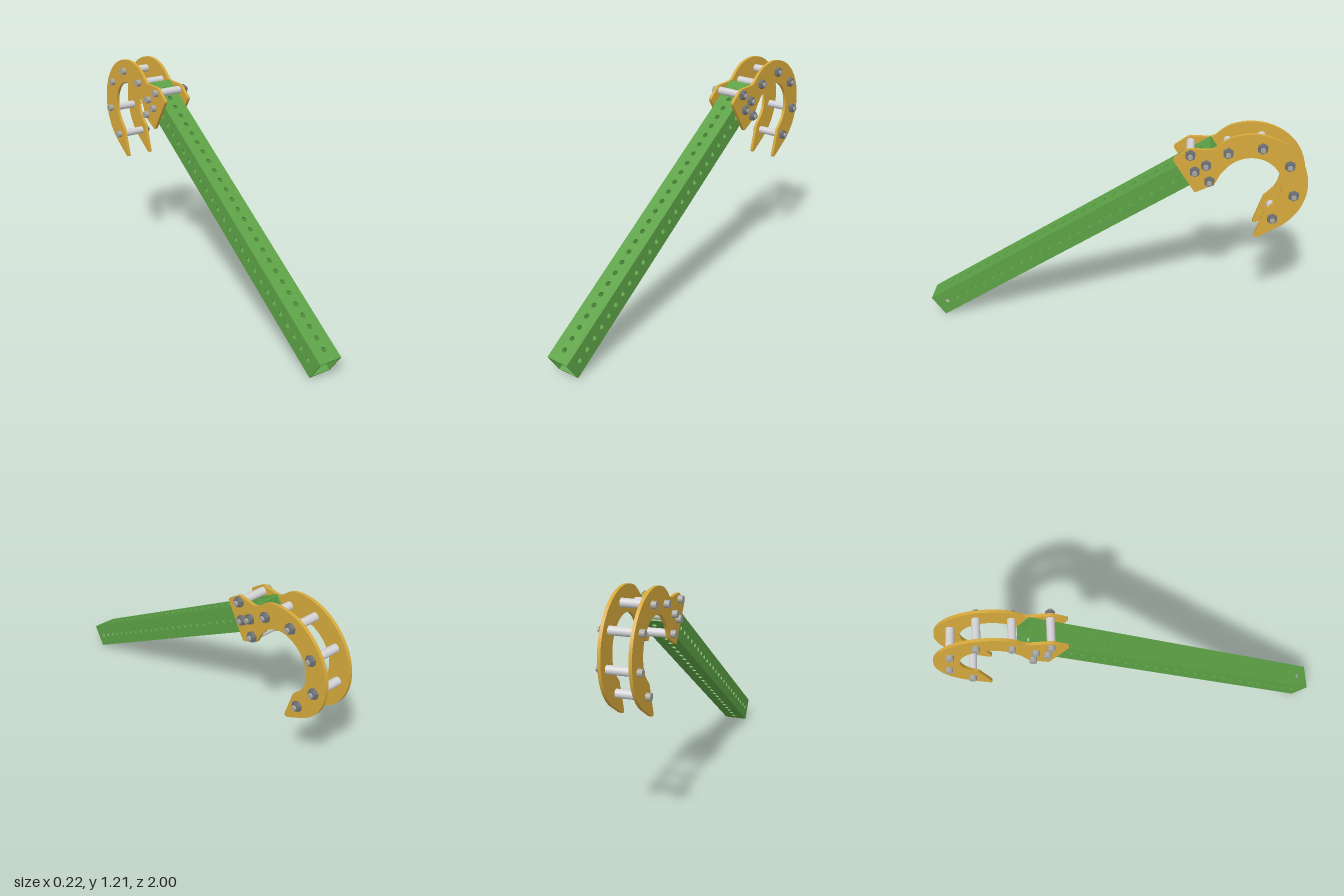
import * as THREE from 'three';
import { toCreasedNormals } from 'three/addons/utils/BufferGeometryUtils.js';

const mat = (name, color) => {
  const m = new THREE.MeshStandardMaterial({ color });
  m.name = name;
  return m;
};
const rad = THREE.MathUtils.degToRad;

export function createModel() {
  const green = mat('green paint', 0x5ca145);
  const gold = mat('gold plate', 0xd6a93c);
  const steel = mat('bolt steel', 0xa8a6a0);
  const darkSteel = mat('nut steel', 0x6f7276);
  const pale = mat('spacer aluminium', 0xd2d2d4);

  const model = new THREE.Group();
  model.name = 'hookArm';
  // Side-profile frame: local x runs to the back, local z is the model's x
  const frame = new THREE.Group();
  frame.name = 'profileFrame';
  frame.rotation.y = Math.PI / 2;
  model.add(frame);

  const add = (parent, name, geometry, material) => {
    const mesh = new THREE.Mesh(geometry, material);
    mesh.name = name;
    parent.add(mesh);
    return mesh;
  };

  // Square tube: four perforated walls, open at both ends
  const W = 0.128, T = 0.008, PITCH = 0.065, L = PITCH * 28, MID = -0.0055;
  const tube = new THREE.Group();
  tube.name = 'tube';
  tube.position.set(-0.964, 0.053, MID);
  tube.rotation.z = rad(34.1);
  frame.add(tube);
  for (let k = 0; k < 4; k++) {
    const h = k % 2 ? W / 2 - T : W / 2;
    const wall = new THREE.Shape([
      new THREE.Vector2(0, -h), new THREE.Vector2(L, -h),
      new THREE.Vector2(L, h), new THREE.Vector2(0, h),
    ]);
    for (let i = 1; i < 28; i++) {
      wall.holes.push(new THREE.Path().absarc(i * PITCH, 0, 0.0138, 0, Math.PI * 2, true));
    }
    const g = new THREE.ExtrudeGeometry(wall, { depth: T, bevelEnabled: false, curveSegments: 16 });
    g.translate(0, 0, W / 2 - T);
    g.rotateX(k * Math.PI / 2);
    add(tube, 'tubeWall', toCreasedNormals(g, 0.6), green);
  }

  // Hook side plates
  const cu = 0.716, cy = 0.928, R = 0.284, r = 0.157;
  const hook = new THREE.Shape();
  hook.moveTo(0.328, 1.05);
  hook.quadraticCurveTo(0.322, 1.06, 0.332, 1.068);
  hook.lineTo(0.39, 1.113);
  hook.quadraticCurveTo(0.4, 1.12, 0.412, 1.12);
  hook.lineTo(0.495, 1.12);
  hook.quadraticCurveTo(0.525, 1.12, 0.545, 1.143);
  hook.quadraticCurveTo(0.568, 1.168, 0.605, 1.189);
  hook.absarc(cu, cy, R, rad(113), rad(-55), true);
  hook.lineTo(0.782, 0.632);
  hook.quadraticCurveTo(0.75, 0.615, 0.76, 0.65);
  hook.lineTo(0.799, 0.785);
  hook.quadraticCurveTo(0.803, 0.797, 0.815, 0.805);
  hook.absarc(cu, cy, r, rad(-34), rad(148), false);
  hook.quadraticCurveTo(0.565, 0.995, 0.555, 0.97);
  hook.lineTo(0.54, 0.935);
  hook.quadraticCurveTo(0.536, 0.925, 0.524, 0.92);
  hook.lineTo(0.45, 0.881);
  hook.quadraticCurveTo(0.44, 0.876, 0.434, 0.886);
  hook.closePath();
  const PT = 0.016;
  const plateGeo = toCreasedNormals(
    new THREE.ExtrudeGeometry(hook, { depth: PT, bevelEnabled: false, curveSegments: 40 }), 0.5);
  add(frame, 'leftHookPlate', plateGeo, gold).position.z = MID + W / 2;
  add(frame, 'rightHookPlate', plateGeo, gold).position.z = MID - W / 2 - PT;

  // Bolts, nuts and spacers, each lying across the model
  const rod = (name, radius, z0, z1, sides, material, parent) => {
    const g = new THREE.CylinderGeometry(radius, radius, z1 - z0, sides);
    g.rotateX(Math.PI / 2);
    g.translate(0, 0, (z0 + z1) / 2);
    if (sides === 6) return add(parent, name, toCreasedNormals(g, 0.4), material);
    return add(parent, name, g, material);
  };
  // Position in profile, and whether the bolt carries a spacer
  const bolts = [
    [0.409, 1.09, true], [0.435, 1.0, false], [0.489, 1.037, false],
    [0.511, 0.947, true], [0.594, 1.109, true], [0.76, 1.142, true],
    [0.9, 1.051, true], [0.935, 0.885, true], [0.841, 0.746, true],
  ];
  for (const [u, y, spaced] of bolts) {
    const b = new THREE.Group();
    b.name = 'boltAssembly';
    b.position.set(u, y, 0);
    frame.add(b);
    rod('boltHead', 0.0185, -0.11, -0.085, 24, steel, b);
    rod('boltShank', 0.0125, -0.086, 0.107, 20, steel, b);
    rod('nut', 0.0275, 0.074, 0.09, 6, darkSteel, b);
    rod('nutCollar', 0.021, 0.09, 0.097, 24, darkSteel, b);
    if (spaced) rod('spacer', 0.021, MID - W / 2, MID + W / 2, 28, pale, b);
  }
  return model;
}
